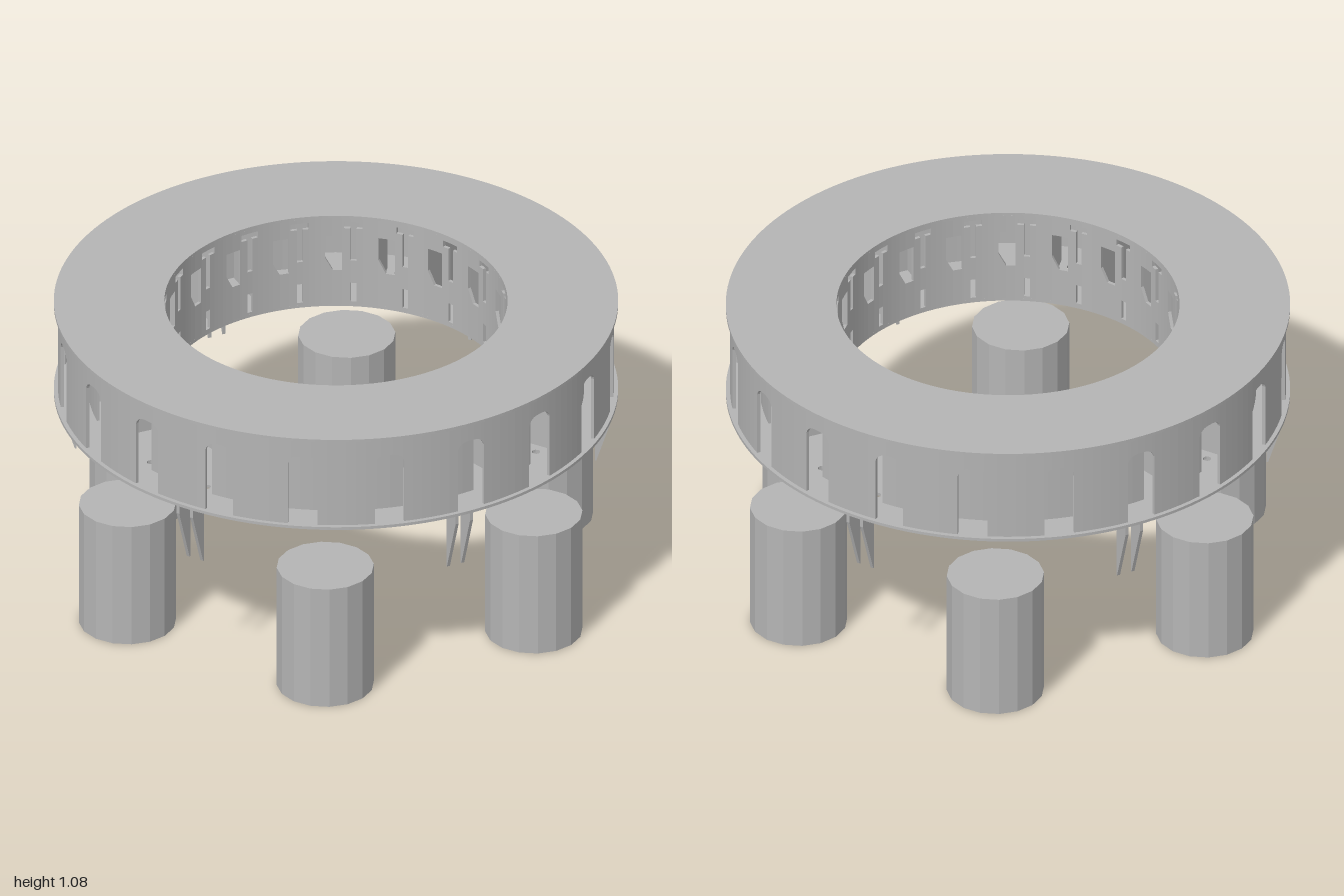
import * as THREE from 'three';
import { mergeGeometries } from 'three/addons/utils/BufferGeometryUtils.js';

const RAD = Math.PI / 180;
const SECTORS = 20, STEP = 18, OFFSET = 1.75; // window bays around the ring
const FLOOR = 0.725, CEILING = 1.07;

// Box bent around the y axis: angles in degrees from +z, heights at both ends
function arcBlock(a0, a1, r0, r1, lo0, hi0, lo1, hi1) {
  const g = new THREE.BoxGeometry(1, 1, 1).toNonIndexed();
  const p = g.attributes.position;
  for (let i = 0; i < p.count; i++) {
    const end = p.getX(i) > 0, top = p.getY(i) > 0;
    const a = (end ? a1 : a0) * RAD;
    const r = p.getZ(i) > 0 ? r1 : r0;
    const y = top ? (end ? hi1 : hi0) : (end ? lo1 : lo0);
    p.setXYZ(i, r * Math.sin(a), y, r * Math.cos(a));
  }
  g.computeVertexNormals();
  return g;
}

// Wall repeated for each bay; a column is [start, end, ...holes], a hole is [lo0, hi0, lo1, hi1]
function ringWall(columns, r0, r1) {
  const parts = [];
  for (let s = 0; s < SECTORS; s++) {
    const base = OFFSET + s * STEP;
    for (const [a0, a1, ...holes] of columns) {
      let lo0 = FLOOR, lo1 = FLOOR;
      for (const [h0, t0, h1, t1] of [...holes, [CEILING, 0, CEILING, 0]]) {
        if (h0 - lo0 > 0.001 || h1 - lo1 > 0.001) {
          parts.push(arcBlock(base + a0, base + a1, r0, r1, lo0, h0, lo1, h1));
        }
        lo0 = t0;
        lo1 = t1;
      }
    }
  }
  return mergeGeometries(parts);
}

// Flat annular deck, optionally drilled with two rows of small holes
function deck(y, drilled) {
  const shape = new THREE.Shape().absarc(0, 0, 0.995, 0, Math.PI * 2);
  shape.holes.push(new THREE.Path().absarc(0, 0, 0.605, 0, Math.PI * 2, true));
  const rows = drilled ? [0.72, 0.84] : [];
  for (const r of rows) {
    for (let s = 0; s < SECTORS; s++) {
      const a = (OFFSET + 10 + s * STEP) * RAD;
      const pts = [];
      for (let k = 0; k < 10; k++) {
        const t = -k * Math.PI / 5;
        pts.push(new THREE.Vector2(r * Math.sin(a) + 0.015 * Math.cos(t), -r * Math.cos(a) + 0.015 * Math.sin(t)));
      }
      shape.holes.push(new THREE.Path(pts));
    }
  }
  const g = new THREE.ExtrudeGeometry(shape, { depth: 0.011, bevelEnabled: false, curveSegments: 80 });
  return g.rotateX(-Math.PI / 2).translate(0, y, 0);
}

export function createModel() {
  const model = new THREE.Group();
  const grey = new THREE.MeshStandardMaterial({ color: 0xb4b4b4, flatShading: true });
  grey.name = 'plain grey';
  const add = (name, geometry, parent = model) => {
    const mesh = new THREE.Mesh(geometry, grey);
    mesh.name = name;
    parent.add(mesh);
    return mesh;
  };

  add('topDeck', deck(1.069, false));
  add('bottomDeck', deck(0.715, true));

  // Outer wall with round-cornered door openings
  const archTop = (deg) => {
    const u = Math.max(0, Math.abs(deg) * RAD * 0.98 - 0.014);
    return 0.965 + Math.sqrt(Math.max(0, 0.04 ** 2 - u * u)) - 0.005;
  };
  const edges = [-9, -7, -5, -3.1, -2.9, -2.4, -1.7, -0.8, 0.8, 1.7, 2.4, 2.9, 3.1, 5, 7, 9];
  const outer = [];
  for (let i = 0; i < edges.length - 1; i++) {
    const a = edges[i], b = edges[i + 1];
    const open = Math.abs(a + b) / 2 < 3.1;
    outer.push(open ? [a, b, [FLOOR, archTop(a), FLOOR, archTop(b)]] : [a, b]);
  }
  add('outerWall', ringWall(outer, 0.968, 0.98));

  // Inner wall with a T slot, a low slot and a chamfered opening per bay
  const bar = [1.03, 1.055, 1.03, 1.055];
  add('innerWall', ringWall([
    [-6, -4], [-4, -2],
    [-2, 0, bar],
    [0, 2, [0.735, 0.81, 0.735, 0.81], [0.9, 1.055, 0.9, 1.055]],
    [2, 4.2, bar],
    [4.2, 4.8],
    [4.8, 8, [0.86, 1.0, 0.86, 1.0]],
    [8, 10.5, [0.86, 1.0, 0.91, 1.0]],
    [10.5, 12],
  ], 0.605, 0.617));

  // Screens behind the doors and radial partitions between the bays
  add('doorScreens', mergeGeometries(Array.from({ length: SECTORS }, (_, s) => {
    const a = OFFSET + s * STEP;
    return mergeGeometries([-4.5, -1.5, 1.5].map((d) =>
      arcBlock(a + d, a + d + 3, 0.865, 0.875, FLOOR, CEILING, FLOOR, CEILING)));
  })));
  add('partitions', mergeGeometries(Array.from({ length: SECTORS }, (_, s) => {
    const a = OFFSET + s * STEP - 4.5;
    return arcBlock(a - 0.6, a, 0.617, 0.875, FLOOR, CEILING, FLOOR, CEILING);
  })));

  // Paired tapering fins below the deck
  const finShape = new THREE.Shape([[0.915, 0.475], [0.92, 0.475], [0.987, 0.68], [0.987, 0.716], [0.915, 0.716]]
    .map(([x, y]) => new THREE.Vector2(x, y)));
  const fin = new THREE.ExtrudeGeometry(finShape, { depth: 0.012, bevelEnabled: false });
  fin.rotateY(-Math.PI / 2).translate(0.006, 0, 0);

  // Free-standing sixteen-sided pillars alternate with the fins
  const pillar = new THREE.CylinderGeometry(0.172, 0.172, 0.475, 16);
  for (let i = 0; i < 6; i++) {
    const pair = new THREE.Group();
    pair.name = 'finPair';
    pair.rotation.y = i * 60 * RAD;
    for (const x of [-0.03, 0.027]) add('fin', fin, pair).position.x = x;
    model.add(pair);

    const a = (30 + i * 60) * RAD;
    add('pillar', pillar).position.set(0.828 * Math.sin(a), 0.2375, 0.828 * Math.cos(a));
  }
  return model;
}
